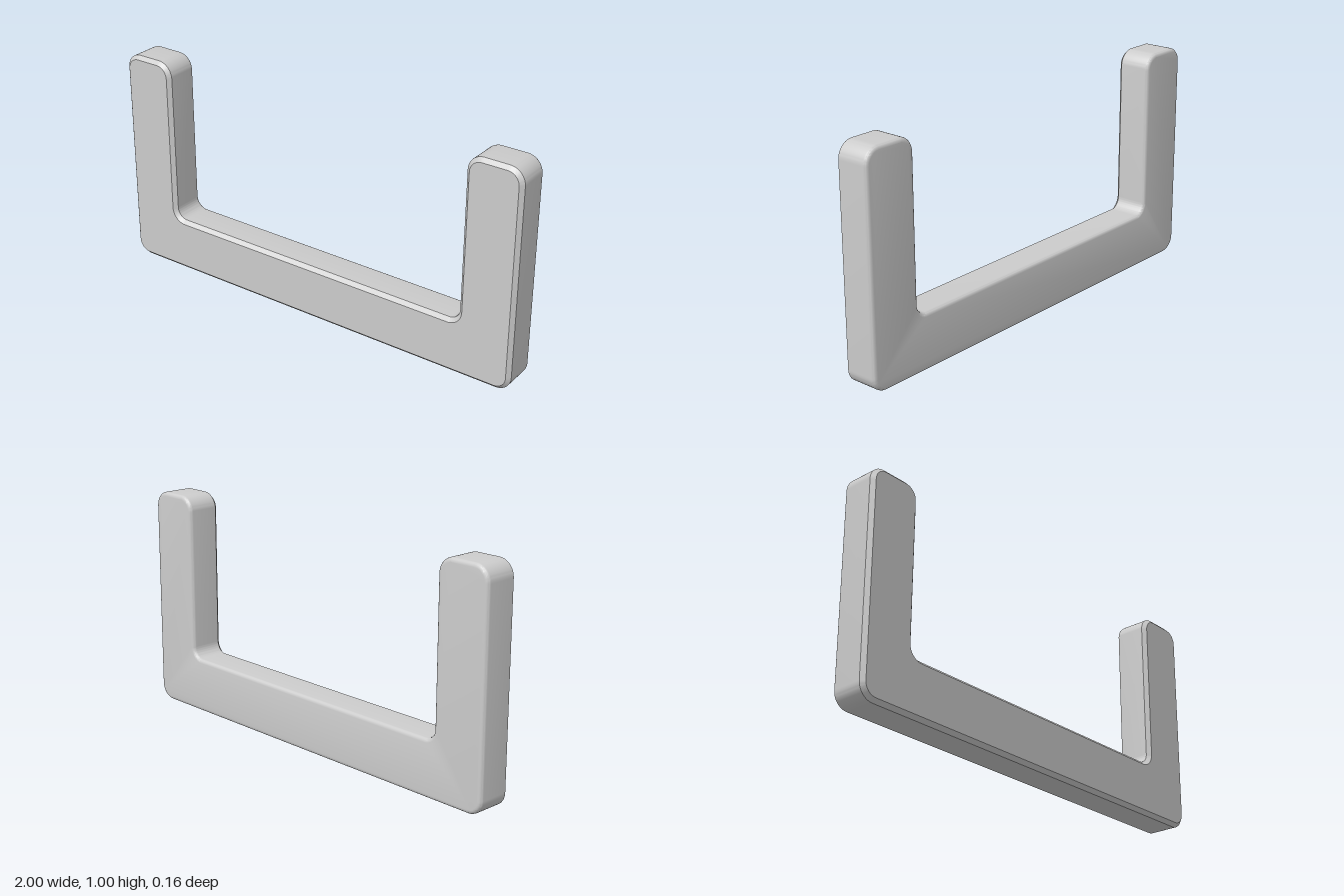
import * as THREE from 'three';
import { toCreasedNormals } from 'three/addons/utils/BufferGeometryUtils.js';

const DEPTH = 0.162, BEVEL = 0.017;
const OUTER = 0.07, INNER = 0.05; // corner radii
const ARM = 0.75, BAR = 0.25; // inner side of the arms, top of the bar

// U outline, counter-clockwise, as a chain of corner arcs joined by straight lines
function uOutline() {
  const shape = new THREE.Shape();
  const q = Math.PI / 2, o = OUTER, i = INNER;
  const corners = [
    [-1 + o, o, o, 2, 3],
    [1 - o, o, o, 3, 4],
    [1 - o, 1 - o, o, 0, 1],
    [ARM + o, 1 - o, o, 1, 2],
    [ARM - i, BAR + i, i, 4, 3, true],
    [-ARM + i, BAR + i, i, 3, 2, true],
    [-ARM - o, 1 - o, o, 0, 1],
    [-1 + o, 1 - o, o, 1, 2],
  ];
  for (const [x, y, r, a, b, clockwise = false] of corners) {
    shape.absarc(x, y, r, a * q, b * q, clockwise);
  }
  return shape;
}

export function createModel() {
  const group = new THREE.Group();
  group.name = 'uBracket';

  const core = DEPTH - 2 * BEVEL;
  const geometry = new THREE.ExtrudeGeometry(uOutline(), {
    depth: core, curveSegments: 8,
    bevelEnabled: true, bevelSize: BEVEL, bevelThickness: BEVEL, bevelOffset: -BEVEL, bevelSegments: 4,
  });
  geometry.translate(0, 0, -core / 2);

  // Turn the round front edge into a flat chamfer; the back edge stays round
  const pos = geometry.attributes.position;
  for (let k = 0; k < pos.count; k++) {
    const c = Math.min(1, (pos.getZ(k) - core / 2) / BEVEL);
    if (c > 0) pos.setZ(k, core / 2 + BEVEL * (1 - Math.sqrt(1 - c * c)));
  }

  const body = new THREE.Mesh(
    toCreasedNormals(geometry, 0.6),
    new THREE.MeshStandardMaterial({ color: 0xcccccc })
  );
  body.name = 'bracketBody';
  group.add(body);
  return group;
}
